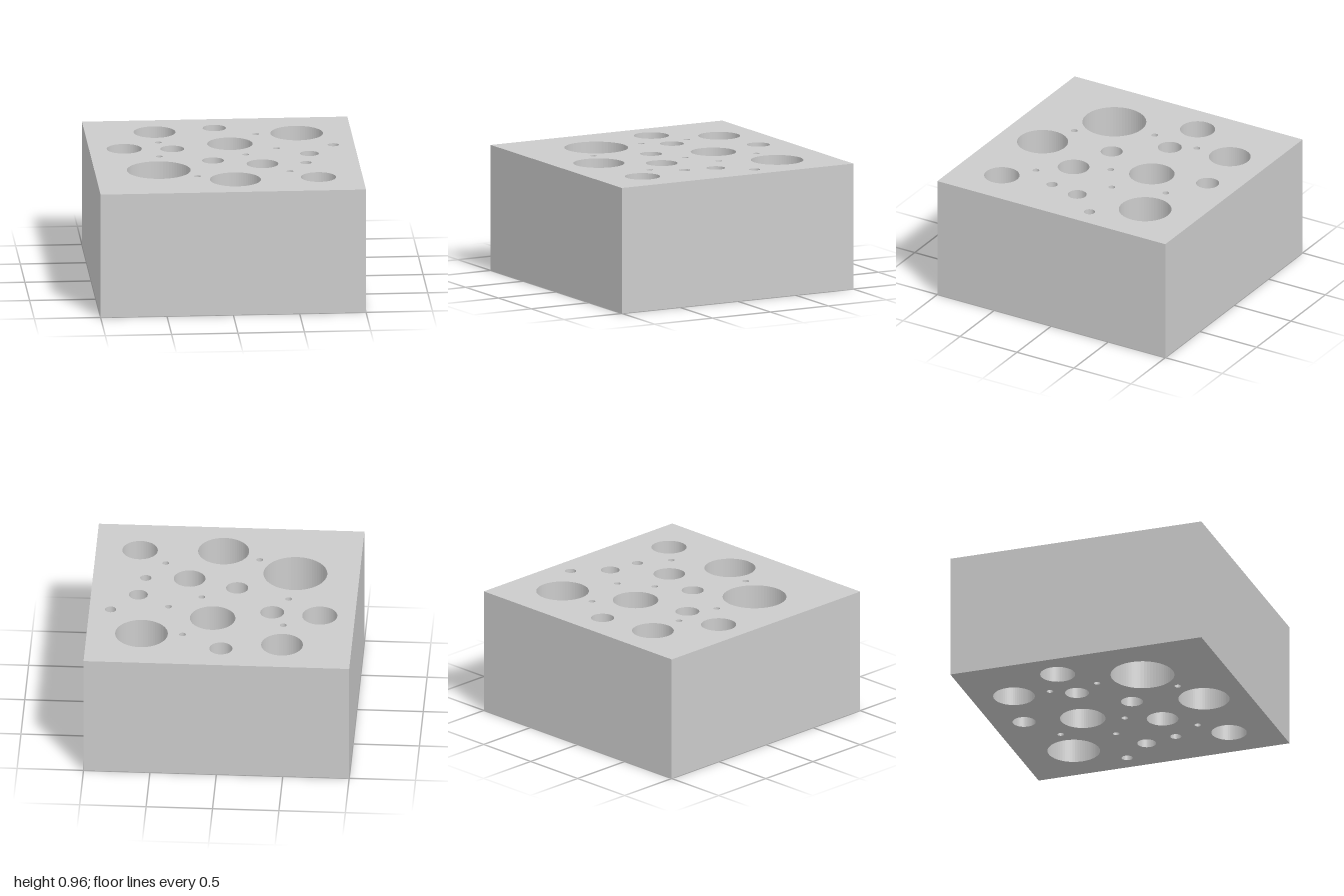
import * as THREE from 'three';

const HEIGHT = 0.96;

// Through holes: x, z, radius
const HOLES = [
  [-0.476, -0.677, 0.157], [-0.02, -0.757, 0.087], [0.588, -0.575, 0.198],
  [0.067, -0.32, 0.171], [-0.735, -0.238, 0.132], [-0.375, -0.211, 0.09],
  [0.84, -0.238, 0.042], [0.644, -0.013, 0.071], [-0.092, 0.128, 0.083],
  [0.273, 0.243, 0.119], [0.602, 0.233, 0.042], [-0.517, 0.361, 0.24],
  [0.04, 0.655, 0.192], [0.668, 0.634, 0.133],
  // Pin holes
  [0.28, -0.57, 0.025], [-0.468, -0.393, 0.025], [0.408, -0.174, 0.025],
  [-0.487, -0.011, 0.025], [0.166, -0.019, 0.025], [0.465, 0.457, 0.025],
  [-0.238, 0.545, 0.025],
];

export function createModel() {
  const group = new THREE.Group();
  group.name = 'perforatedBlock';

  // Square outline, drawn with shape y = -z
  const outline = new THREE.Shape();
  outline.moveTo(-1, -1).lineTo(1, -1).lineTo(1, 1).lineTo(-1, 1).closePath();
  for (const [x, z, r] of HOLES) {
    outline.holes.push(new THREE.Path().absarc(x, -z, r, 0, Math.PI * 2, true));
  }

  // Block extruded upwards, holes running right through
  const geometry = new THREE.ExtrudeGeometry(outline, {
    depth: HEIGHT, bevelEnabled: false, curveSegments: 32,
  });
  geometry.rotateX(-Math.PI / 2);

  const block = new THREE.Mesh(geometry, new THREE.MeshStandardMaterial({ color: 0xcccccc }));
  block.name = 'block';
  group.add(block);
  return group;
}
